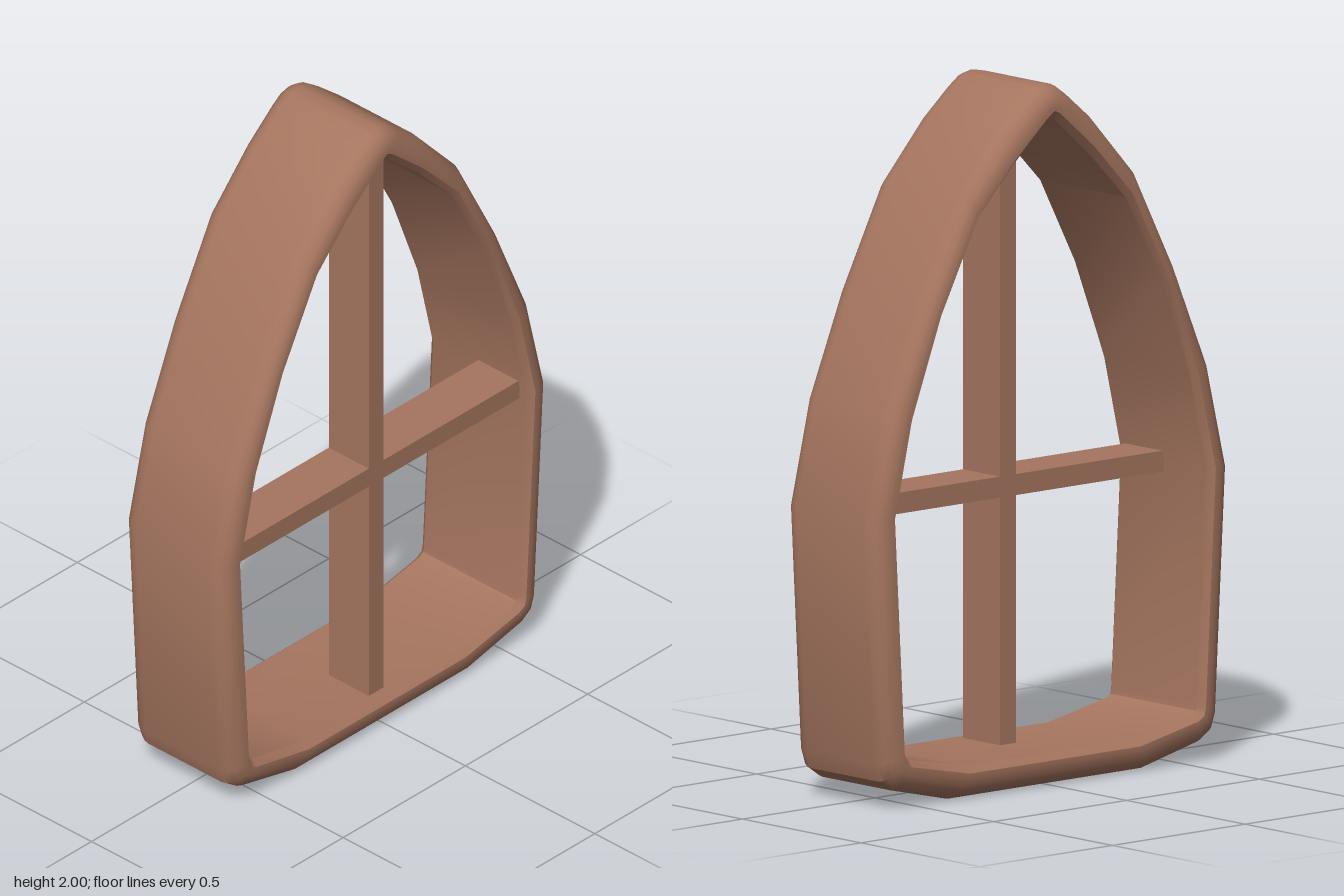
import * as THREE from 'three';
import { toCreasedNormals } from 'three/addons/utils/BufferGeometryUtils.js';

// Half outline from apex to base: [outer z, outer y, inner z, inner y]
const HALF = [
  [0, 2, 0, 1.91],
  [0.035, 1.993, 0.01, 1.902],
  [0.075, 1.965, 0.025, 1.89],
  [0.165, 1.89, 0.145, 1.785],
  [0.32, 1.72, 0.282, 1.645],
  [0.47, 1.43, 0.42, 1.385],
  [0.6, 1.13, 0.525, 1.105],
  [0.672, 0.83, 0.587, 0.835],
  [0.634, 0.13, 0.55, 0.16],
  [0.617, 0.08, 0.547, 0.146],
  [0.573, 0.05, 0.53, 0.136],
  [0.36, 0, 0.31, 0.093],
];

// Cross-section of the frame: [x, t], t = 0 at the outside and 1 at the inside
function frameSection() {
  const side = [];
  for (let i = 0; i <= 5; i++) {
    const a = (i / 5) * Math.PI / 2;
    side.push([0.14 + 0.06 * Math.sin(a), 0.7 * (1 - Math.cos(a))]);
  }
  side.push([0.2, 0.8], [0.18, 1]);
  return [...side, ...side.map(([x, t]) => [-x, t]).reverse()];
}

// Sweep the cross-section around the closed pointed outline
function frameGeometry() {
  const mirrored = HALF.slice(1).reverse().map(([oz, oy, iz, iy]) => [-oz, oy, -iz, iy]);
  const ring = [...HALF, ...mirrored];
  const section = frameSection();
  const n = ring.length, m = section.length;
  const positions = [], index = [];
  for (const [oz, oy, iz, iy] of ring) {
    for (const [x, t] of section) {
      positions.push(x, oy + (iy - oy) * t, oz + (iz - oz) * t);
    }
  }
  for (let i = 0; i < n; i++) {
    for (let j = 0; j < m; j++) {
      const a = i * m + j, b = ((i + 1) % n) * m + j;
      const c = i * m + (j + 1) % m, d = ((i + 1) % n) * m + (j + 1) % m;
      index.push(a, b, c, b, d, c);
    }
  }
  const g = new THREE.BufferGeometry();
  g.setAttribute('position', new THREE.Float32BufferAttribute(positions, 3));
  g.setIndex(index);
  return toCreasedNormals(g, 0.62);
}

export function createModel() {
  const model = new THREE.Group();
  model.name = 'archedWindow';
  const wood = new THREE.MeshStandardMaterial({ color: 0xa5755f });
  wood.name = 'brown wood';

  const add = (name, geometry, x = 0, y = 0, z = 0) => {
    const mesh = new THREE.Mesh(geometry, wood);
    mesh.name = name;
    mesh.position.set(x, y, z);
    model.add(mesh);
  };

  add('frame', frameGeometry());

  // Glazing bars, set towards one face of the frame
  add('verticalBar', new THREE.BoxGeometry(0.155, 1.83, 0.06), 0.078, 0.995, 0);
  add('crossBar', new THREE.BoxGeometry(0.155, 0.06, 1.19), 0.078, 0.83, 0);

  return model;
}
